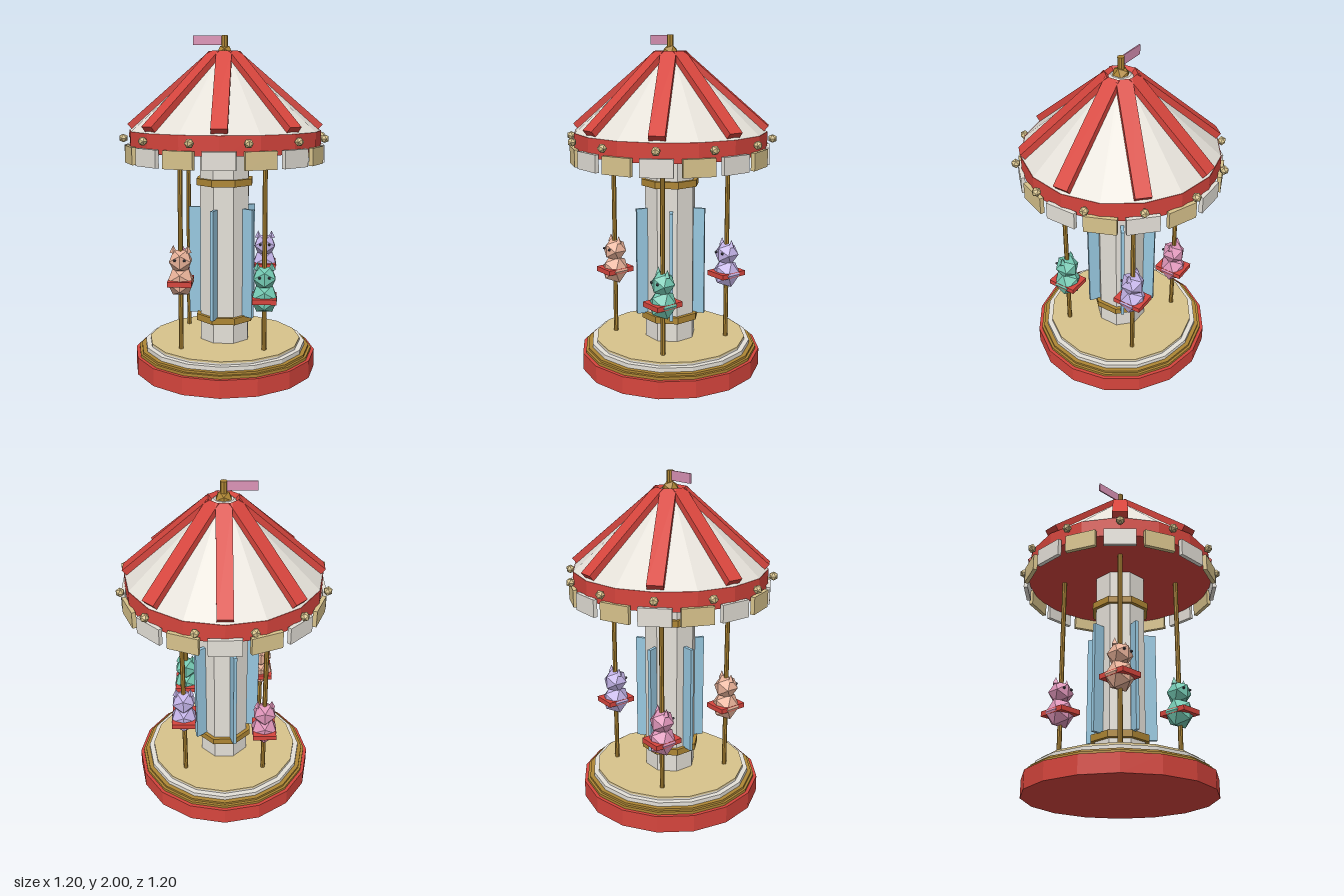
import * as THREE from 'three';

const mat = (name, color) => {
  const m = new THREE.MeshStandardMaterial({ color, flatShading: true });
  m.name = name;
  return m;
};

export function createModel() {
  const red = mat('red', 0xd6453d);
  const white = mat('warm white', 0xe4e0d8);
  const tan = mat('tan', 0xd8c38c);
  const gold = mat('gold', 0xae8634);
  const blue = mat('mirror blue', 0x98c8e0);
  const salmon = mat('salmon', 0xe8b198);
  const lavender = mat('lavender', 0xc2b2e6);
  const mint = mat('mint', 0x74c9b2);
  const pink = mat('pink', 0xdd94b8);
  const dark = mat('eye dark', 0x4a4650);

  const model = new THREE.Group();
  model.name = 'carousel';

  const add = (parent, name, geo, material, x = 0, y = 0, z = 0) => {
    const m = new THREE.Mesh(geo, material);
    m.name = name;
    m.position.set(x, y, z);
    parent.add(m);
    return m;
  };
  // upright drum between two heights
  const drum = (name, rTop, rBottom, y0, y1, sides, material, x = 0, z = 0) =>
    add(model, name, new THREE.CylinderGeometry(rTop, rBottom, y1 - y0, sides), material, x, (y0 + y1) / 2, z);
  // n copies around the axis; angle 0 points to the front
  const ring = (n, start, make) => {
    for (let i = 0; i < n; i++) {
      const arm = new THREE.Group();
      arm.rotation.y = start + (i * Math.PI * 2) / n;
      make(arm, i);
      model.add(arm);
    }
  };

  // stepped platform
  drum('baseDrum', 0.55, 0.55, 0, 0.105, 16, red);
  drum('baseTrimLower', 0.53, 0.53, 0.105, 0.122, 16, gold);
  drum('baseTrimUpper', 0.515, 0.515, 0.122, 0.135, 16, gold);
  drum('stepLower', 0.49, 0.49, 0.135, 0.16, 16, white);
  drum('stepUpper', 0.46, 0.46, 0.16, 0.17, 16, white);
  drum('deck', 0.46, 0.46, 0.17, 0.18, 16, tan);

  // centre column with gold bands, flat side to the front
  drum('column', 0.155, 0.155, 0.18, 1.345, 8, white).rotation.y = Math.PI / 8;
  for (const y of [0.32, 1.147])
    drum('columnBand', 0.178, 0.178, y - 0.02, y + 0.02, 8, gold).rotation.y = Math.PI / 8;

  // five mirror fins standing out from the column
  const finGeo = new THREE.BoxGeometry(0.02, 0.655, 0.1);
  ring(5, -Math.PI / 2, (arm) => {
    arm.name = 'mirrorFin';
    add(arm, 'mirror', finGeo, blue, 0, 0.6625, 0.165);
  });

  // canopy
  drum('canopyRim', 0.57, 0.57, 1.34, 1.45, 16, red);
  drum('canopyCone', 0.055, 0.567, 1.45, 1.9, 16, white);
  const beamGeo = new THREE.BoxGeometry(0.09, 0.04, 0.647);
  ring(8, 0, (arm) => {
    arm.name = 'canopyRib';
    add(arm, 'rib', beamGeo, red, 0, 1.683, 0.317).rotation.x = 0.713;
  });

  // hanging valance, alternating colours
  const flapGeo = new THREE.BoxGeometry(0.182, 0.1, 0.024);
  ring(16, 0, (arm, i) => {
    arm.name = 'valance';
    add(arm, 'valancePanel', flapGeo, i % 2 ? tan : white, 0, 1.317, 0.573);
  });

  // light bulbs on the rim
  const bulbGeo = new THREE.IcosahedronGeometry(0.027, 0);
  ring(12, Math.PI / 12, (arm) => {
    arm.name = 'bulbMount';
    add(arm, 'bulb', bulbGeo, tan, 0, 1.41, 0.6);
  });

  // finial and pennant
  add(model, 'finialBall', new THREE.IcosahedronGeometry(0.052, 0), gold, 0, 1.895, 0);
  drum('finialPole', 0.02, 0.02, 1.9, 2, 8, gold);
  add(model, 'pennant', new THREE.BoxGeometry(0.18, 0.055, 0.008), pink, -0.095, 1.972, 0);

  // riding animals on poles
  const bodyGeo = new THREE.IcosahedronGeometry(0.087, 0);
  const headGeo = new THREE.IcosahedronGeometry(0.075, 0);
  const earGeo = new THREE.ConeGeometry(0.022, 0.045, 4);
  const eyeGeo = new THREE.IcosahedronGeometry(0.009, 0);
  const saddleGeo = new THREE.BoxGeometry(0.14, 0.03, 0.18);
  const rider = (x, y, z, skin) => {
    drum('ridePole', 0.014, 0.014, 0.18, 1.345, 8, gold, x, z);
    const g = new THREE.Group();
    g.name = 'rideAnimal';
    g.position.set(x, y, z);
    add(g, 'body', bodyGeo, skin).scale.y = 1.08;
    add(g, 'saddle', saddleGeo, red);
    add(g, 'head', headGeo, skin, 0, 0.122, 0);
    for (const s of [-1, 1]) {
      add(g, 'ear', earGeo, skin, s * 0.042, 0.192, 0);
      add(g, 'eye', eyeGeo, dark, s * 0.028, 0.135, 0.06);
    }
    model.add(g);
  };
  rider(-0.243, 0.585, 0.243, salmon);
  rider(0.243, 0.49, 0.243, mint);
  rider(0.243, 0.585, -0.243, lavender);
  rider(-0.243, 0.49, -0.243, pink);

  return model;
}
